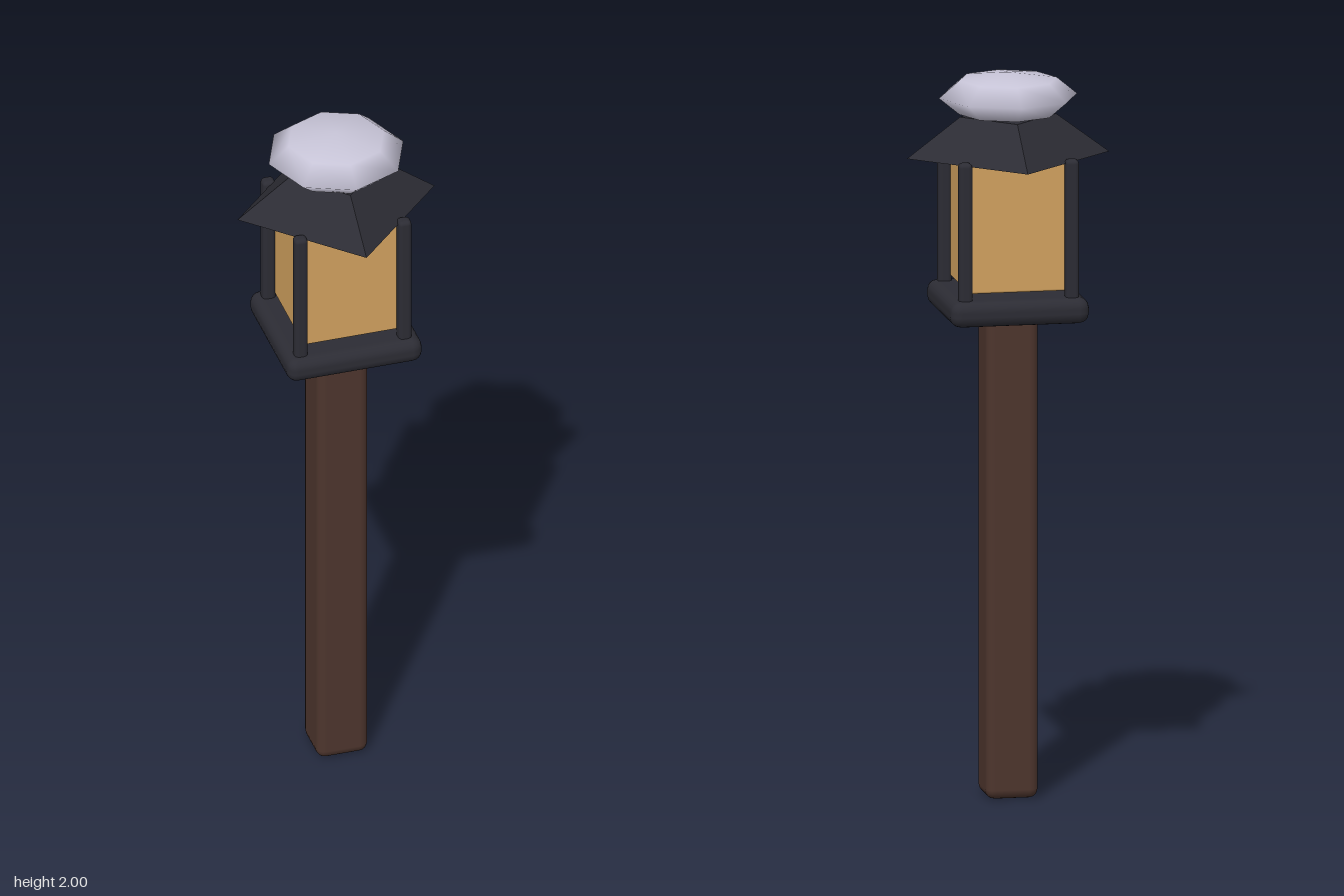
import * as THREE from 'three';
import { RoundedBoxGeometry } from 'three/addons/geometries/RoundedBoxGeometry.js';

const material = (name, color, extra = {}) => {
  const m = new THREE.MeshStandardMaterial({ color, ...extra });
  m.name = name;
  return m;
};

export function createModel() {
  const group = new THREE.Group();
  group.name = 'lanternPost';

  const wood = material('darkWood', 0x4d352d);
  const iron = material('darkIron', 0x2c2c34);
  const roofIron = material('roofIron', 0x2c2c34, { flatShading: true });
  const glass = material('amberGlass', 0xd2a25f);
  const snow = material('paleCap', 0xc8c5d8);

  const add = (name, geometry, mat, x, y, z) => {
    const mesh = new THREE.Mesh(geometry, mat);
    mesh.name = name;
    mesh.position.set(x, y, z);
    group.add(mesh);
    return mesh;
  };
  // Rounded block standing between two heights
  const block = (name, width, y0, y1, radius, mat, x = 0, z = 0) =>
    add(name, new RoundedBoxGeometry(width, y1 - y0, width, 2, radius), mat, x, (y0 + y1) / 2, z);

  // Wooden post and the tray on top of it
  block('post', 0.145, 0, 1.335, 0.026, wood);
  block('tray', 0.384, 1.33, 1.402, 0.03, iron);

  // Amber glass floating just above the tray
  block('glass', 0.268, 1.415, 1.775, 0.006, glass);

  // Four corner bars
  for (const x of [-1, 1])
    for (const z of [-1, 1])
      block('cornerBar', 0.037, 1.38, 1.782, 0.012, iron, x * 0.1475, z * 0.1475);

  // Four-sided roof turned so its corners lie on the axes
  add('roof', new THREE.CylinderGeometry(0.133, 0.28, 0.11, 4), roofIron, 0, 1.825, 0);

  // Flattened eight-sided cap
  add('cap', new THREE.SphereGeometry(1, 8, 4).scale(0.191, 0.066, 0.191), snow, 0, 1.934, 0);

  return group;
}
